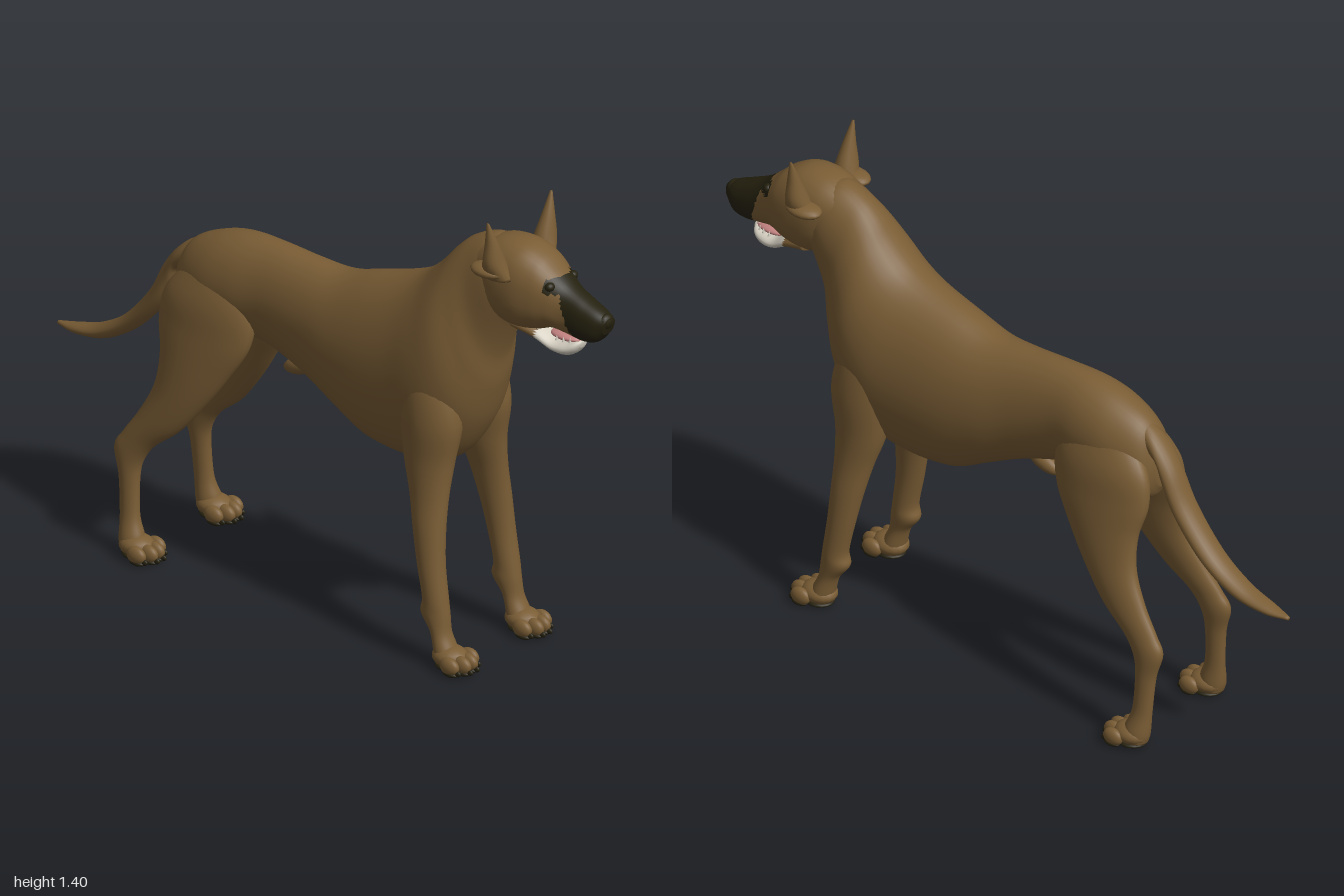
import * as THREE from 'three';

const mat = (name, color) => {
  const m = new THREE.MeshStandardMaterial({ color });
  m.name = name;
  return m;
};

// Smooth closed skin through sections: [centre x, half width, z1, y1, z2, y2],
// where (z1,y1) and (z2,y2) are opposite edge points seen from the side.
// pick(point) may choose a material index for each triangle.
function loft(sections, { sides = 28, sub = 6, boxy = 1, pick = null } = {}) {
  const curve = (f) => new THREE.CatmullRomCurve3(sections.map(f), false, 'catmullrom', 0.5);
  const edgeA = curve((s) => new THREE.Vector3(s[0], s[3], s[2]));
  const edgeB = curve((s) => new THREE.Vector3(s[0], s[5], s[4]));
  const width = curve((s) => new THREE.Vector3(s[1], 0, 0));
  const rows = (sections.length - 1) * sub;
  const pos = [];
  const tris = [];
  const soft = (v) => Math.sign(v) * Math.abs(v) ** boxy;
  for (let i = 0; i <= rows; i++) {
    const a = edgeA.getPoint(i / rows), b = edgeB.getPoint(i / rows);
    const w = Math.max(width.getPoint(i / rows).x, 0.002);
    const mid = a.clone().add(b).multiplyScalar(0.5);
    const half = a.clone().sub(b).multiplyScalar(0.5);
    for (let j = 0; j < sides; j++) {
      const t = (j / sides) * Math.PI * 2;
      const p = mid.clone().addScaledVector(half, soft(Math.sin(t)));
      pos.push(p.x + w * soft(Math.cos(t)), p.y, p.z);
      if (i < rows) {
        const k = (j + 1) % sides, r = i * sides, q = r + sides;
        tris.push([r + j, r + k, q + j], [r + k, q + k, q + j]);
      }
    }
  }
  // End caps
  for (const row of [0, rows]) {
    const c = edgeA.getPoint(row / rows).add(edgeB.getPoint(row / rows)).multiplyScalar(0.5);
    const n = pos.length / 3;
    pos.push(c.x, c.y, c.z);
    for (let j = 0; j < sides; j++) {
      const p = row * sides + j, q = row * sides + ((j + 1) % sides);
      tris.push(row === 0 ? [n, q, p] : [n, p, q]);
    }
  }
  // Turn all faces outward
  const at = (i) => new THREE.Vector3().fromArray(pos, i * 3);
  let volume = 0;
  for (const [a, b, c] of tris) volume += at(a).dot(at(b).cross(at(c)));
  if (volume < 0) tris.forEach((t) => t.reverse());

  const geo = new THREE.BufferGeometry();
  geo.setAttribute('position', new THREE.Float32BufferAttribute(pos, 3));
  if (pick) {
    const sets = [[], []];
    for (const t of tris) {
      const centre = at(t[0]).add(at(t[1])).add(at(t[2])).divideScalar(3);
      sets[pick(centre)].push(...t);
    }
    geo.setIndex(sets.flat());
    geo.addGroup(0, sets[0].length, 0);
    geo.addGroup(sets[0].length, sets[1].length, 1);
  } else geo.setIndex(tris.flat());
  geo.computeVertexNormals();
  return geo;
}

export function createModel() {
  const coat = mat('tan coat', 0x7a5d35);
  const dark = mat('dark mask', 0x25210f);
  const white = mat('chin white', 0xd3cdbf);
  const pink = mat('tongue pink', 0xc58482);
  const dog = new THREE.Group();
  dog.name = 'dog';

  const add = (name, geo, material, parent = dog) => {
    const m = new THREE.Mesh(geo, material);
    m.name = name;
    parent.add(m);
    return m;
  };
  const blob = (name, material, p, r, parent = dog) => {
    const m = add(name, new THREE.SphereGeometry(1, 16, 12), material, parent);
    m.position.set(...p);
    m.scale.set(...r);
    return m;
  };

  // Torso and neck, from rump to throat
  add('torso', loft([
    [0, 0.025, -0.535, 0.86, -0.535, 0.76],
    [0, 0.075, -0.49, 0.945, -0.5, 0.71],
    [0, 0.105, -0.4, 0.995, -0.4, 0.71],
    [0, 0.108, -0.3, 1.02, -0.3, 0.715],
    [0, 0.098, -0.18, 1.023, -0.2, 0.71],
    [0, 0.108, -0.05, 1.015, -0.06, 0.66],
    [0, 0.128, 0.06, 1.015, 0.06, 0.6],
    [0, 0.145, 0.18, 1.05, 0.18, 0.54],
    [0, 0.158, 0.3, 1.088, 0.33, 0.53],
    [0, 0.168, 0.37, 1.122, 0.47, 0.57],
    [0, 0.16, 0.43, 1.175, 0.56, 0.69],
    [0, 0.13, 0.48, 1.232, 0.605, 0.82],
    [0, 0.107, 0.53, 1.272, 0.625, 0.93],
    [0, 0.095, 0.6, 1.3, 0.67, 1.04],
    [0, 0.08, 0.66, 1.29, 0.7, 1.08],
  ], { sides: 40 }), coat);

  // Tail
  add('tail', loft([
    [0, 0.03, -0.44, 0.97, -0.49, 0.85],
    [0.005, 0.042, -0.52, 0.925, -0.55, 0.83],
    [0.012, 0.044, -0.59, 0.85, -0.57, 0.77],
    [0.015, 0.044, -0.65, 0.74, -0.61, 0.7],
    [0.018, 0.042, -0.75, 0.625, -0.7, 0.6],
    [0.02, 0.037, -0.85, 0.562, -0.81, 0.53],
    [0.02, 0.026, -0.94, 0.535, -0.92, 0.508],
    [0.02, 0.006, -1, 0.523, -1, 0.512],
  ], { sides: 20 }), coat);

  // Skull and muzzle with the dark mask
  const mask = (p) => (p.z > 0.855 + (1.2 - p.y) * 0.3 && p.y > 1.06)
    || (p.z > 0.815 && p.y > 1.195 && p.y < 1.235) ? 1 : 0;
  add('head', loft([
    [0, 0.08, 0.56, 1.275, 0.6, 1.1],
    [0, 0.099, 0.64, 1.307, 0.66, 1.06],
    [0, 0.1, 0.72, 1.31, 0.72, 1.05],
    [0.004, 0.088, 0.78, 1.285, 0.775, 1.06],
    [0.007, 0.072, 0.82, 1.25, 0.82, 1.075],
    [0.01, 0.055, 0.865, 1.213, 0.865, 1.068],
    [0.012, 0.049, 0.92, 1.185, 0.92, 1.06],
    [0.014, 0.041, 0.965, 1.165, 0.96, 1.068],
    [0.015, 0.024, 0.998, 1.147, 0.988, 1.098],
  ], { sides: 36, sub: 8, boxy: 0.85, pick: mask }), [coat, dark]);
  blob('nose', dark, [0.015, 1.135, 0.982], [0.027, 0.023, 0.018]);

  // Lower jaw, tongue and teeth
  add('lowerJaw', loft([
    [0, 0.065, 0.7, 1.1, 0.7, 1.045],
    [0.004, 0.056, 0.77, 1.075, 0.77, 1.03],
    [0.008, 0.047, 0.82, 1.045, 0.82, 1.005],
    [0.01, 0.042, 0.86, 1.046, 0.86, 1],
    [0.012, 0.032, 0.89, 1.054, 0.885, 1.012],
    [0.012, 0.012, 0.905, 1.052, 0.902, 1.032],
  ], { sides: 24, pick: (p) => (p.z > 0.775 ? 1 : 0) }), [coat, white]);
  blob('tongue', pink, [0.01, 1.053, 0.845], [0.03, 0.012, 0.055]);
  for (let i = 0; i < 9; i++) {
    const t = (i / 8) * Math.PI;
    const tooth = add('tooth', new THREE.ConeGeometry(0.005, 0.016, 6), white);
    tooth.position.set(0.011 + 0.033 * Math.cos(t), 1.054, 0.835 + 0.057 * Math.sin(t));
  }
  const sheath = blob('sheath', coat, [0, 0.667, -0.11], [0.024, 0.026, 0.06]);
  sheath.rotation.x = -0.35;

  // Paw with four toes, claws and dark pads, heel at the given z
  const paw = (name, x, z, side) => {
    const g = new THREE.Group();
    g.name = name;
    g.position.set(x, 0, z);
    dog.add(g);
    blob('pawBody', coat, [0, 0.038, 0.045], [0.047, 0.032, 0.055], g);
    blob('heelPad', dark, [0, 0.011, 0.045], [0.042, 0.011, 0.045], g);
    for (let i = 0; i < 4; i++) {
      const dx = (i - 1.5) * 0.029 * side;
      const reach = i === 1 || i === 2 ? 0.098 : 0.078;
      blob('toe', coat, [dx, 0.03, reach], [0.0175, 0.026, 0.033], g);
      blob('toePad', dark, [dx, 0.009, reach + 0.004], [0.015, 0.009, 0.026], g);
      blob('claw', dark, [dx, 0.016, reach + 0.029], [0.006, 0.009, 0.012], g);
    }
  };

  // Paired parts
  for (const side of [1, -1]) {
    const word = side > 0 ? 'left' : 'right';
    const mirror = (rows) => rows.map(([x, ...rest]) => [x * side, ...rest]);

    add(word + 'FrontLeg', loft(mirror([
      [0.085, 0.035, 0.47, 0.94, 0.38, 0.95],
      [0.098, 0.062, 0.525, 0.84, 0.36, 0.85],
      [0.105, 0.07, 0.55, 0.72, 0.355, 0.73],
      [0.113, 0.058, 0.532, 0.6, 0.37, 0.6],
      [0.128, 0.046, 0.525, 0.5, 0.4, 0.5],
      [0.143, 0.042, 0.526, 0.4, 0.425, 0.4],
      [0.152, 0.038, 0.532, 0.3, 0.447, 0.3],
      [0.155, 0.036, 0.546, 0.2, 0.468, 0.2],
      [0.155, 0.036, 0.553, 0.155, 0.462, 0.155],
      [0.157, 0.032, 0.56, 0.1, 0.498, 0.105],
      [0.158, 0.038, 0.58, 0.055, 0.515, 0.045],
      [0.158, 0.036, 0.585, 0.02, 0.52, 0.018],
    ])), coat);

    add(word + 'HindLeg', loft(mirror([
      [0.045, 0.035, -0.3, 0.95, -0.45, 0.92],
      [0.068, 0.058, -0.225, 0.83, -0.53, 0.82],
      [0.083, 0.058, -0.225, 0.715, -0.545, 0.725],
      [0.103, 0.05, -0.29, 0.6, -0.525, 0.63],
      [0.12, 0.042, -0.36, 0.5, -0.532, 0.53],
      [0.135, 0.034, -0.435, 0.41, -0.575, 0.44],
      [0.145, 0.028, -0.515, 0.345, -0.625, 0.365],
      [0.15, 0.028, -0.555, 0.285, -0.652, 0.315],
      [0.155, 0.025, -0.565, 0.22, -0.632, 0.235],
      [0.161, 0.025, -0.56, 0.12, -0.622, 0.12],
      [0.167, 0.035, -0.54, 0.06, -0.618, 0.05],
      [0.168, 0.034, -0.54, 0.02, -0.61, 0.018],
    ])), coat);

    paw(word + 'FrontPaw', 0.158 * side, 0.518, side);
    paw(word + 'HindPaw', 0.168 * side, -0.605, side);

    // Pointed ear with its folded base
    add(word + 'Ear', loft(mirror([
      [0.095, 0.03, 0.73, 1.22, 0.635, 1.22],
      [0.11, 0.036, 0.715, 1.27, 0.65, 1.27],
      [0.123, 0.02, 0.702, 1.335, 0.665, 1.335],
      [0.138, 0.003, 0.686, 1.4, 0.678, 1.4],
    ]), { sides: 16 }), coat);
    blob(word + 'EarFold', coat, [0.108 * side, 1.24, 0.66], [0.04, 0.02, 0.058]);

    blob(word + 'Eye', dark, [0.006 + 0.05 * side, 1.215, 0.828], [0.016, 0.013, 0.014]);
  }
  return dog;
}
